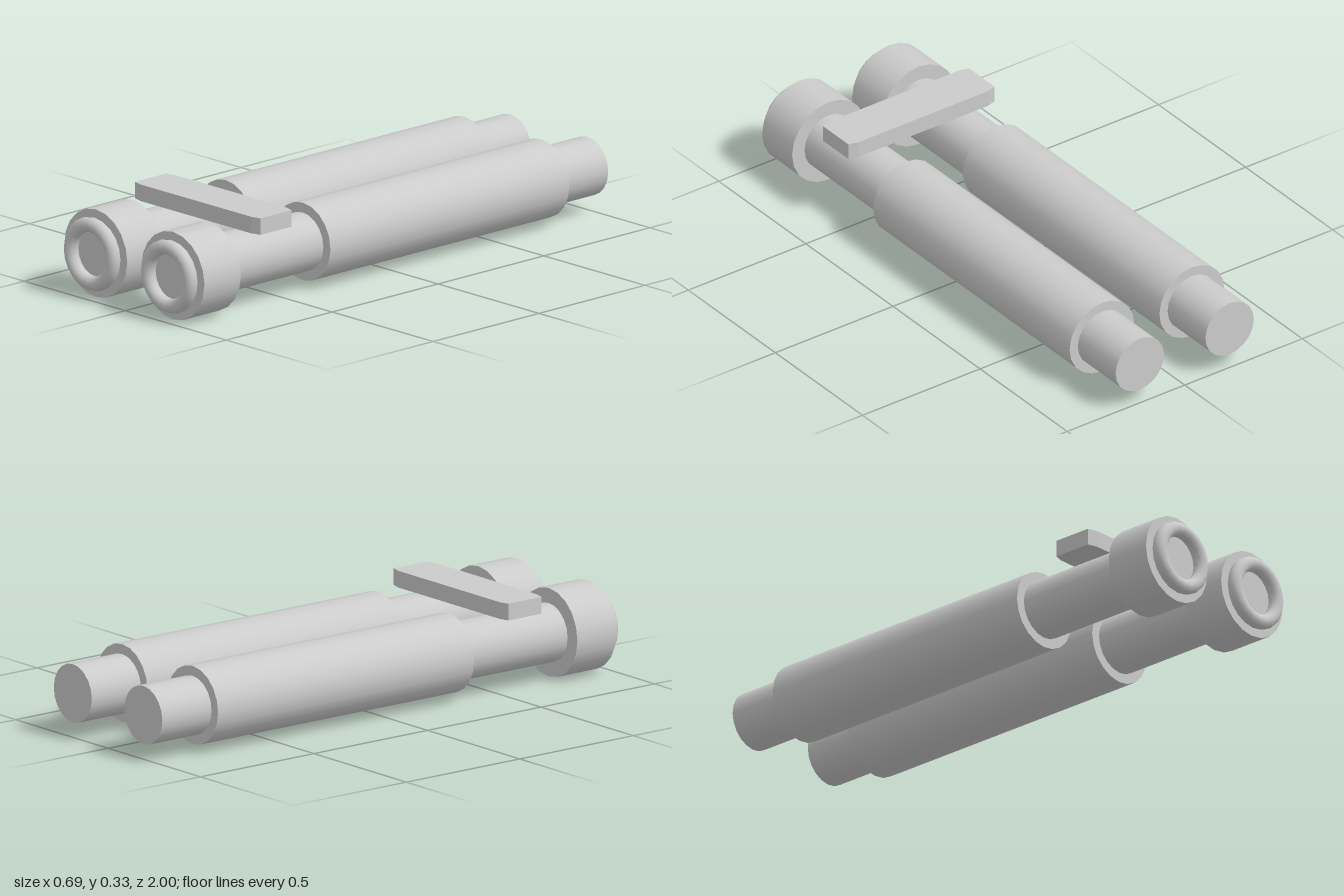
import * as THREE from 'three';

const SIDES = 20;
const AXIS_X = 0.191;
const AXIS_Y = 0.157;

export function createModel() {
  const model = new THREE.Group();
  const material = new THREE.MeshStandardMaterial({ color: 0xcccccc });

  const add = (parent, name, geometry) => {
    const mesh = new THREE.Mesh(geometry, material);
    mesh.name = name;
    parent.add(mesh);
    return mesh;
  };

  // Cylinder along z between two depths
  const rod = (radius, back, front) =>
    new THREE.CylinderGeometry(radius, radius, front - back, SIDES)
      .rotateX(Math.PI / 2)
      .translate(0, 0, (front + back) / 2);

  // Two identical tubes, side by side
  for (const [name, side] of [['leftTube', 1], ['rightTube', -1]]) {
    const tube = new THREE.Group();
    tube.name = name;
    tube.position.set(side * AXIS_X, AXIS_Y, 0);
    add(tube, 'barrel', rod(0.103, -1, 0.9));
    add(tube, 'sleeve', rod(0.138, -0.783, 0.345));
    add(tube, 'collar', rod(0.156, 0.785, 0.957));
    add(tube, 'frontRing', new THREE.TorusGeometry(0.104, 0.026, 12, SIDES).translate(0, 0, 0.974));
    model.add(tube);
  }

  // Flat bridge plate with trimmed corners, above the tubes
  const w = 0.311, d = 0.083, cx = 0.036, cz = 0.01;
  const outline = new THREE.Shape([
    [w - cx, -d], [w, cz - d], [w, d - cz], [w - cx, d],
    [cx - w, d], [-w, d - cz], [-w, cz - d], [cx - w, -d],
  ].map(([x, y]) => new THREE.Vector2(x, y)));
  const plate = new THREE.ExtrudeGeometry(outline, { depth: 0.059, bevelEnabled: false });
  plate.rotateX(-Math.PI / 2);
  add(model, 'bridgePlate', plate).position.set(0, 0.267, 0.584);

  return model;
}
